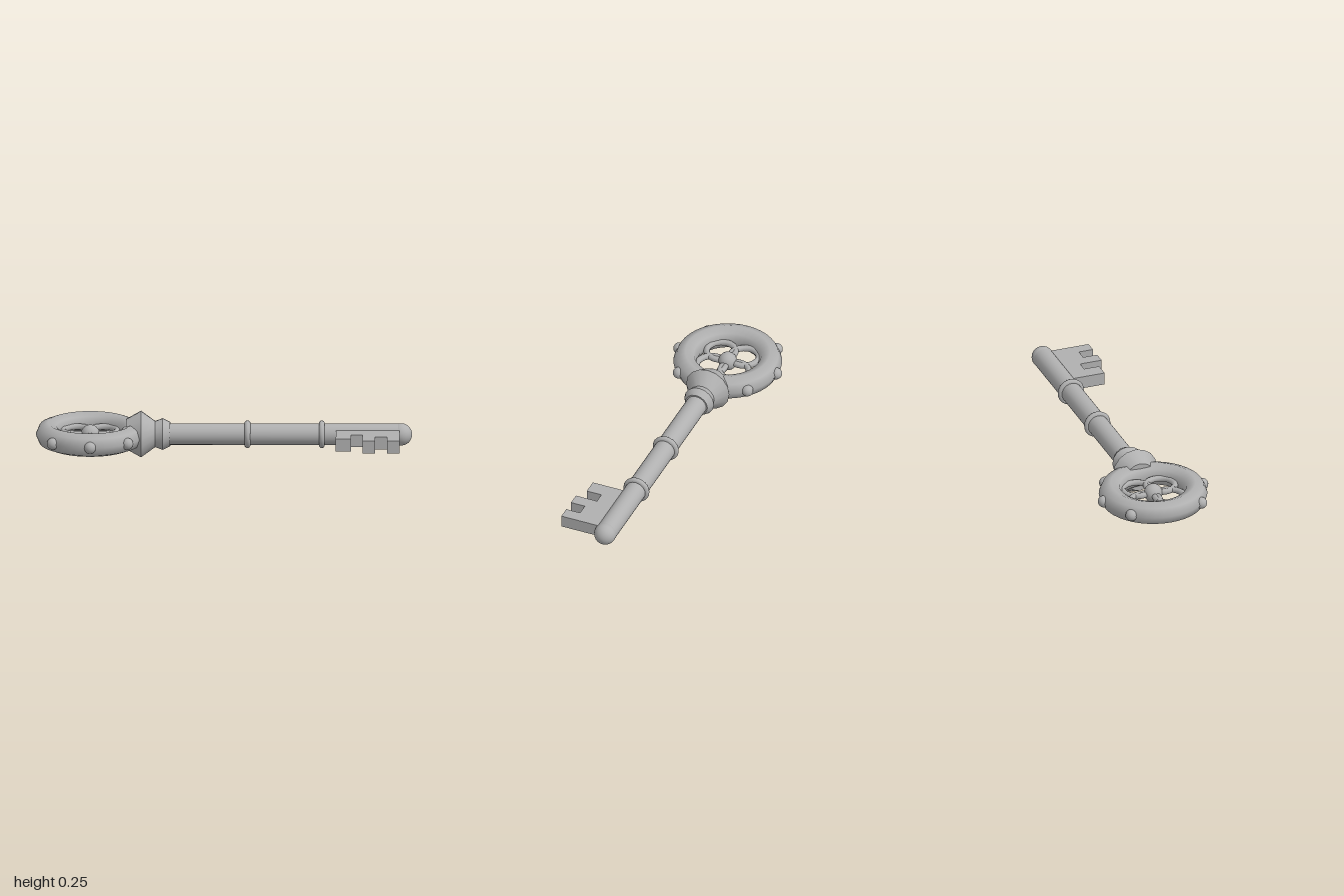
import * as THREE from 'three';
import { toCreasedNormals } from 'three/addons/utils/BufferGeometryUtils.js';

export function createModel() {
  const key = new THREE.Group();
  key.name = 'ornateKey';
  const metal = new THREE.MeshStandardMaterial({ color: 0xb0b0b0 });
  metal.name = 'grey metal';

  const axisY = 0.125;   // height of the shaft axis
  const bowX = -0.71;    // centre of the ring handle

  const add = (name, geometry, x = 0, z = 0) => {
    const mesh = new THREE.Mesh(geometry, metal);
    mesh.name = name;
    mesh.position.set(x, axisY, z);
    key.add(mesh);
    return mesh;
  };
  const flatRing = (radius, tube, sides, segments) =>
    new THREE.TorusGeometry(radius, tube, sides, segments).rotateX(Math.PI / 2);

  // Ring handle
  add('bowRing', flatRing(0.225, 0.064, 8, 40), bowX);

  // Studs around the ring, leaving out the two on the long axis
  for (let i = 0; i < 8; i++) {
    if (i % 4 === 0) continue;
    const a = (i * Math.PI) / 4;
    add('bowStud', new THREE.SphereGeometry(0.032, 14, 10),
      bowX + 0.28 * Math.cos(a), 0.28 * Math.sin(a));
  }

  // Four overlapping loops with a bead in the middle
  for (const sx of [-1, 1]) {
    for (const sz of [-1, 1]) {
      add('filigreeLoop', flatRing(0.077, 0.017, 8, 28), bowX + sx * 0.067, sz * 0.067);
    }
  }
  add('centreBead', new THREE.SphereGeometry(0.05, 16, 12), bowX);

  // Flared collar joining handle and shaft: [x, radius]
  const profile = [
    [-0.52, 0], [-0.52, 0.08], [-0.44, 0.125], [-0.365, 0.07],
    [-0.325, 0.085], [-0.285, 0.065], [-0.285, 0.05],
  ].map(([x, r]) => new THREE.Vector2(r, x));
  const collar = new THREE.LatheGeometry(profile, 16).rotateZ(-Math.PI / 2);
  add('flaredCollar', toCreasedNormals(collar, 0.6));

  // Shaft with rounded tip
  const shaft = new THREE.CylinderGeometry(0.057, 0.057, 1.26, 24).rotateZ(-Math.PI / 2);
  add('shaft', shaft, 0.31);
  add('shaftTip', new THREE.SphereGeometry(0.059, 24, 16), 0.941);

  // Thin bands on the shaft
  for (const x of [0.125, 0.52]) {
    add('shaftBand', new THREE.TorusGeometry(0.058, 0.016, 10, 24).rotateY(Math.PI / 2), x);
  }

  // Toothed bit, outlined in x and z
  const outline = [
    [0.595, 0], [0.595, 0.22], [0.677, 0.22], [0.677, 0.135],
    [0.737, 0.135], [0.737, 0.257], [0.803, 0.257], [0.803, 0.177],
    [0.867, 0.177], [0.867, 0.257], [0.933, 0.257], [0.933, 0],
  ].map(([x, z]) => new THREE.Vector2(x, z));
  const bit = new THREE.ExtrudeGeometry(new THREE.Shape(outline), { depth: 0.068, bevelEnabled: false });
  add('toothedBit', bit.rotateX(Math.PI / 2).translate(0, 0.034, 0));

  return key;
}
